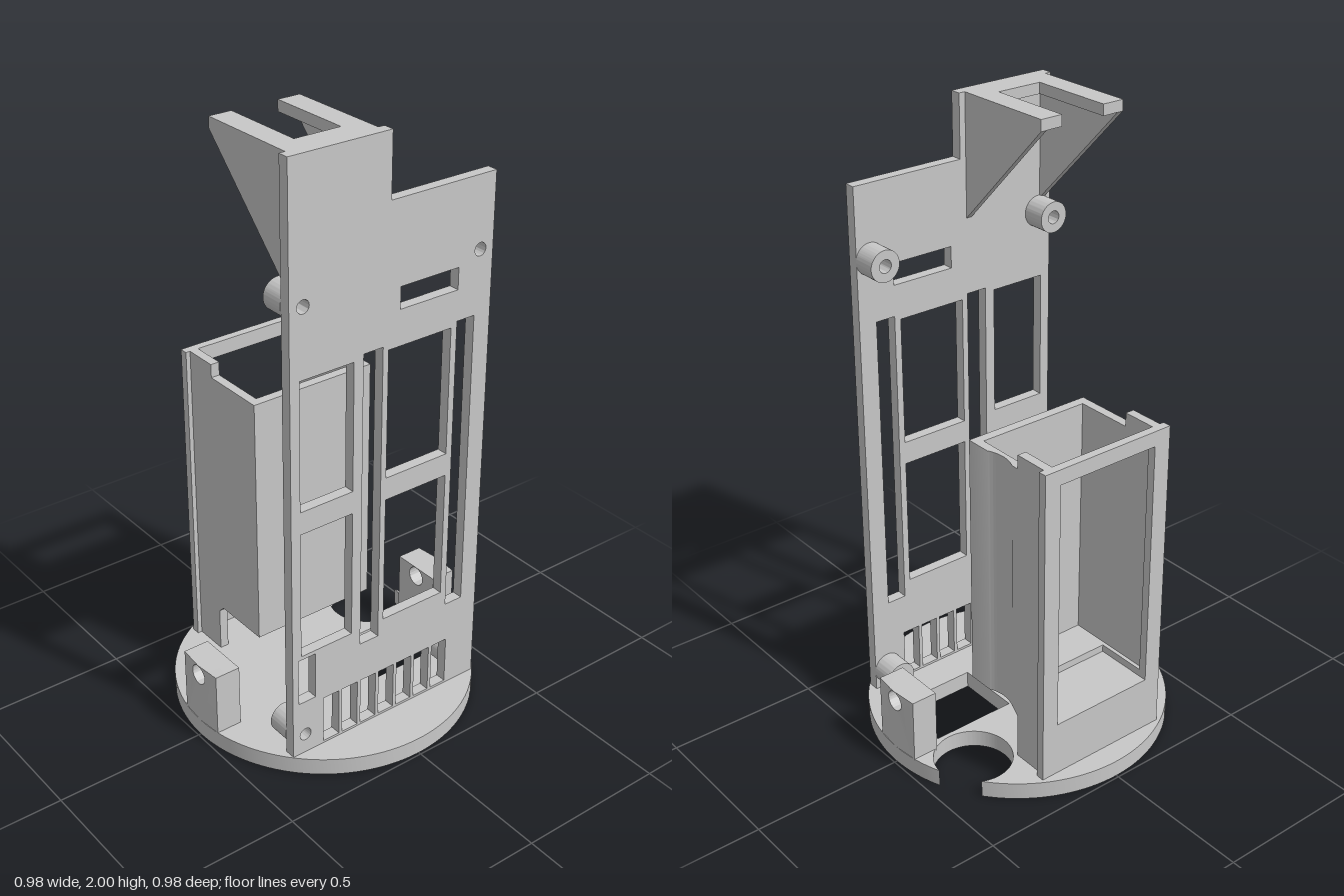
import * as THREE from 'three';
import { toCreasedNormals } from 'three/addons/utils/BufferGeometryUtils.js';

const R = 0.491;                                  // base radius
const NOTCH = { x: 0.332, z: -0.19, r: 0.125 };   // round cable notch

const poly = (pts) => new THREE.Shape(pts.map(([a, b]) => new THREE.Vector2(a, b)));
const rect = (x0, x1, y0, y1) => poly([[x0, y0], [x1, y0], [x1, y1], [x0, y1]]);
const disc = (x, y, r) => new THREE.Shape().absarc(x, y, r, 0, Math.PI * 2, false);

// Extrude a shape between a and b along an axis:
// 'z' uses (x, y) shapes, 'x' uses (z, y) shapes, 'y' uses (x, z) shapes
function extrude(shape, axis, a, b) {
  const g = new THREE.ExtrudeGeometry(shape, { depth: b - a, bevelEnabled: false, curveSegments: 64 });
  if (axis === 'z') g.translate(0, 0, a);
  if (axis === 'x') g.rotateY(-Math.PI / 2).translate(b, 0, 0);
  if (axis === 'y') g.rotateX(Math.PI / 2).translate(0, b, 0);
  return g;
}

export function createModel() {
  const model = new THREE.Group();
  const grey = new THREE.MeshStandardMaterial({ color: 0xc8c8c8 });
  grey.name = 'light grey';
  const add = (name, geometry, parent = model) => {
    const mesh = new THREE.Mesh(toCreasedNormals(geometry, 0.5), grey);
    mesh.name = name;
    parent.add(mesh);
  };
  const group = (name) => {
    const g = new THREE.Group();
    g.name = name;
    model.add(g);
    return g;
  };

  // Round base with a bite out of the rim and a square opening
  const d = Math.hypot(NOTCH.x, NOTCH.z), a = Math.atan2(NOTCH.z, NOTCH.x), r = NOTCH.r;
  const delta = Math.acos((d * d + R * R - r * r) / (2 * d * R));
  const beta = Math.acos((r * r + d * d - R * R) / (2 * r * d));
  const base = new THREE.Shape();
  base.absarc(0, 0, R, a + delta, a - delta + 2 * Math.PI, false);
  base.absarc(NOTCH.x, NOTCH.z, r, a - Math.PI + beta, a - Math.PI - beta, true);
  base.holes.push(rect(0.075, 0.365, -0.05, 0.172));
  add('base', extrude(base, 'y', 0, 0.057));

  // Side lugs: drilled blocks, made of two halves, with the outer face following the rim
  const lugHalf = (s) => {
    const half = poly([[0, 0.05], [s * 0.087, 0.05], [s * 0.087, 0.27], [0, 0.27]]);
    return half.lineTo(0, 0.268).absarc(0, 0.235, 0.033, Math.PI / 2, s > 0 ? -Math.PI / 2 : Math.PI * 1.5, s > 0);
  };
  for (const side of [-1, 1]) {
    const halves = [lugHalf(1), lugHalf(-1)];
    const g = side > 0 ? extrude(halves, 'x', 0.396, R) : extrude(halves, 'x', -R, -0.396);
    const p = g.attributes.position;
    for (let i = 0; i < p.count; i++) {
      if (Math.abs(p.getX(i)) > 0.45) p.setX(i, side * Math.sqrt(R * R - p.getZ(i) ** 2));
    }
    add(side > 0 ? 'leftLug' : 'rightLug', g);
  }

  // Upright front panel with its cut-outs
  const panel = poly([[-0.365, 0.05], [0.364, 0.05], [0.364, 1.8], [-0.018, 1.8], [-0.018, 2], [-0.365, 2]]);
  for (const [y0, y1] of [[0.425, 0.855], [0.93, 1.35]]) {
    panel.holes.push(rect(-0.332, -0.142, y0, y1), rect(-0.018, 0.215, y0, y1));
  }
  panel.holes.push(
    rect(-0.108, -0.038, 0.37, 1.365), rect(0.237, 0.303, 0.37, 1.365),
    rect(0.022, 0.236, 1.465, 1.535), rect(-0.343, -0.279, 0.25, 0.412));
  for (const [x, y] of [[-0.318, 1.57], [0.316, 1.57], [-0.318, 0.125]]) panel.holes.push(disc(x, y, 0.021));
  for (let i = 0; i < 7; i++) {
    const x = -0.249 + i * 0.0725;
    panel.holes.push(rect(x, x + 0.06, 0.065, 0.23));
  }
  add('frontPanel', extrude(panel, 'z', 0.289, 0.325));

  // Screw standoffs behind the panel
  const standoffs = group('standoffs');
  for (const x of [-0.318, 0.316]) {
    for (const y of [0.125, 1.57]) {
      const ring = disc(x, y, 0.05);
      ring.holes.push(disc(x, y, 0.021));
      add('standoff', extrude(ring, 'z', 0.212, 0.289), standoffs);
    }
  }

  // Top bracket: U-shaped plate carried by a thin gusset under each outer edge
  const bracket = group('topBracket');
  const plate = poly([[-0.345, 0.295], [-0.345, -0.057], [-0.27, -0.057], [-0.27, 0.226],
    [-0.115, 0.226], [-0.115, -0.057], [-0.039, -0.057], [-0.039, 0.295]]);
  add('bracketPlate', extrude(plate, 'y', 1.965, 2), bracket);
  const gusset = poly([[0.295, 1.605], [0.295, 1.97], [-0.057, 1.97], [-0.057, 1.965]]);
  add('bracketGusset', extrude(gusset, 'x', -0.345, -0.325), bracket);
  add('bracketGusset', extrude(gusset, 'x', -0.059, -0.039), bracket);

  // Tall holder box: raised front part, scooped on one side by the notch
  const holder = group('holderBox');
  const phi = Math.acos((NOTCH.x - 0.221) / r);
  const front = new THREE.Shape();
  front.moveTo(0.191, -0.273);
  front.lineTo(0.221, -0.273);
  front.absarc(NOTCH.x, NOTCH.z, r, Math.PI + phi, Math.PI - phi, true);
  for (const [x, z] of [[0.221, -0.047], [-0.224, -0.047], [-0.224, -0.273],
    [-0.194, -0.273], [-0.194, -0.079], [0.191, -0.079]]) front.lineTo(x, z);
  add('holderFront', extrude(front, 'y', 0.23, 1.08), holder);

  // Taller rear side walls, with a small gusset under the raised part
  const wall = poly([[-0.273, 0.05], [-0.395, 0.05], [-0.395, 1.125], [-0.273, 1.125],
    [-0.273, 0.24], [-0.25, 0.24], [-0.25, 0.23], [-0.273, 0.207]]);
  add('holderRightWall', extrude(wall, 'x', -0.224, -0.194), holder);
  add('holderLeftWall', extrude(wall, 'x', 0.191, 0.221), holder);

  // Floor with a sloped underside and a shallow pocket between two ledges
  const floor = poly([[-0.06, 0.23], [-0.265, 0.23], [-0.39, 0.1], [-0.39, 0.24],
    [-0.215, 0.24], [-0.215, 0.265], [-0.06, 0.265]]);
  add('holderFloor', extrude(floor, 'x', -0.181, 0.181), holder);
  const ledge = poly([[-0.06, 0.23], [-0.265, 0.23], [-0.39, 0.1], [-0.39, 0.265], [-0.06, 0.265]]);
  add('floorLedge', extrude(ledge, 'x', -0.196, -0.181), holder);
  add('floorLedge', extrude(ledge, 'x', 0.181, 0.193), holder);

  // Back frame with a window
  const back = rect(-0.239, 0.238, 0.05, 1.125);
  back.holes.push(rect(-0.181, 0.181, 0.24, 1.075));
  add('holderBack', extrude(back, 'z', -0.416, -0.388), holder);

  return model;
}
